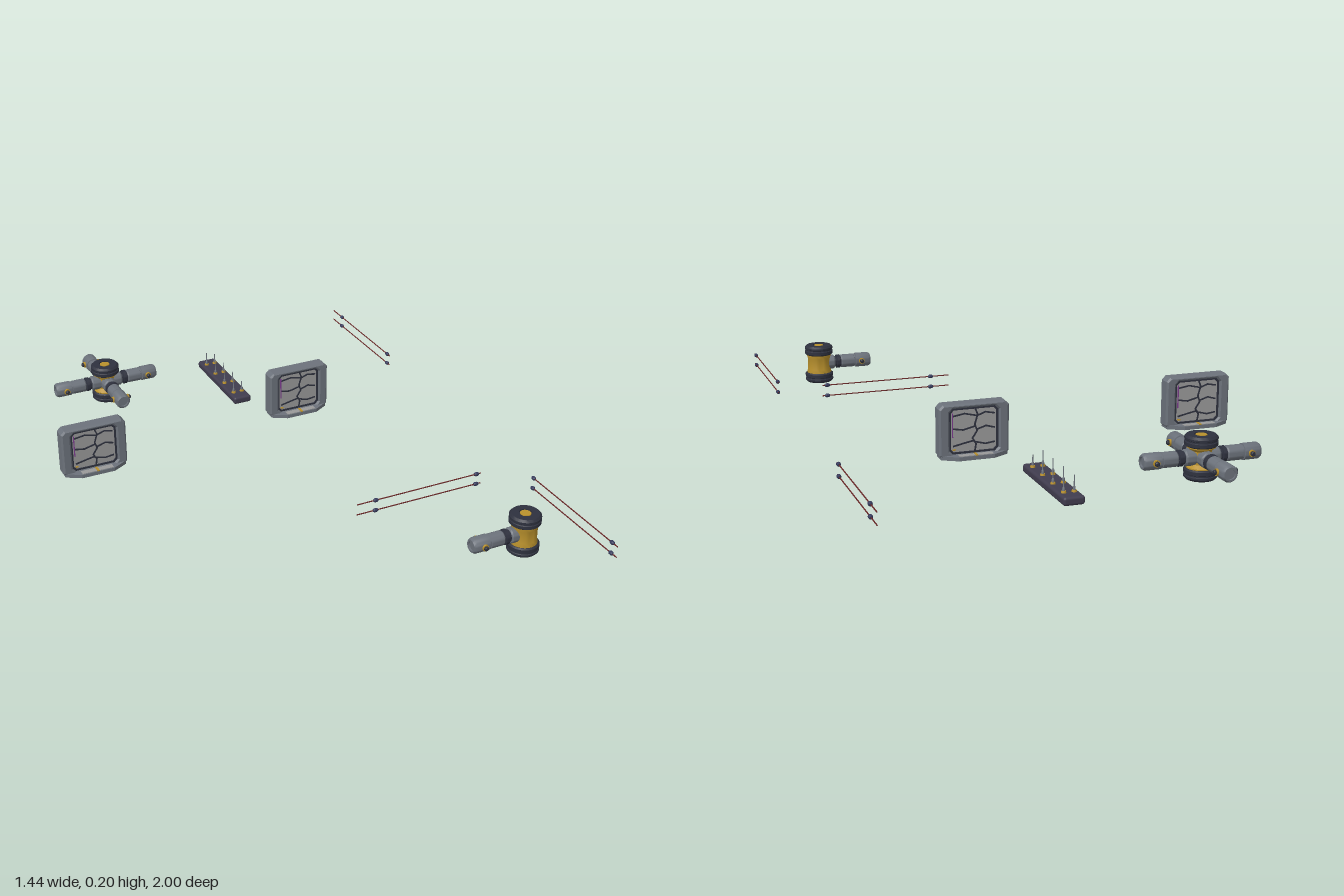
import * as THREE from 'three';
import { toCreasedNormals } from 'three/addons/utils/BufferGeometryUtils.js';
import { RoundedBoxGeometry } from 'three/addons/geometries/RoundedBoxGeometry.js';

const mat = (c) => new THREE.MeshStandardMaterial({ color: c });
const M = {
  steel: mat(0x6c727b), light: mat(0x999999), dark: mat(0x2e313e), strip: mat(0x403c4e),
  gold: mat(0xb8902c), wire: mat(0x6a2626), navy: mat(0x35395a), purple: mat(0x7a3a8c),
};

function add(parent, name, geo, material, x = 0, y = 0, z = 0) {
  const m = new THREE.Mesh(geo, material);
  m.name = name;
  m.position.set(x, y, z);
  parent.add(m);
  return m;
}
function group(parent, name, x, y, z) {
  const g = new THREE.Group();
  g.name = name;
  g.position.set(x, y, z);
  parent.add(g);
  return g;
}
// Turned profile of [radius, height] pairs, keeping sharp shoulders
const turned = (pts, seg = 28) =>
  toCreasedNormals(new THREE.LatheGeometry(pts.map((p) => new THREE.Vector2(...p)), seg), 0.6);

// Rectangle outline with cut corners
function cutRect(w, h, c, Type = THREE.Shape) {
  const s = new Type(), a = w / 2, b = h / 2;
  [[-a + c, -b], [a - c, -b], [a, -b + c], [a, b - c], [a - c, b], [-a + c, b], [-a, b - c], [-a, -b + c]]
    .forEach((p, i) => (i ? s.lineTo(...p) : s.moveTo(...p)));
  s.closePath();
  return s;
}

// Pipe arm pointing along local +x
function buildArm(parent, angle) {
  const arm = group(parent, 'pipeArm', 0, 0, 0);
  arm.rotation.y = angle;
  const lay = (name, pts, m) => { add(arm, name, turned(pts), m).rotation.z = -Math.PI / 2; };
  lay('socket', [[0, 0.025], [0.027, 0.025], [0.027, 0.055], [0.023, 0.06], [0, 0.06]], M.steel);
  lay('neck', [[0, 0.058], [0.021, 0.058], [0.021, 0.066], [0.026, 0.068], [0.026, 0.08], [0.021, 0.082], [0.021, 0.09], [0, 0.09]], M.dark);
  lay('pipe', [[0, 0.084], [0.022, 0.084], [0.025, 0.088], [0.025, 0.135], [0.023, 0.136], [0.023, 0.141],
    [0.027, 0.142], [0.027, 0.192], [0.022, 0.2], [0.016, 0.2], [0.016, 0.194], [0, 0.194]], M.steel);
  for (const s of [-1, 1]) {
    const washer = add(arm, 'boltWasher', new THREE.CylinderGeometry(0.011, 0.011, 0.008, 16), M.gold, 0.163, 0, s * 0.028);
    const bolt = add(arm, 'boltHead', turned([[0, 0], [0.008, 0], [0.008, 0.006], [0.005, 0.009], [0, 0.009]], 12), M.dark, 0.163, 0, s * 0.031);
    washer.rotation.x = bolt.rotation.x = s * Math.PI / 2;
  }
}

// Drum with two flanged caps and any number of arms
function buildHub(parent, name, x, z, angles, waist) {
  const hub = group(parent, name, x, 0.079, z);
  add(hub, 'drum', turned([[0.046, -0.04], [0.046, -0.031], [waist, -0.021], [waist, 0.021], [0.046, 0.031], [0.046, 0.04]]), M.gold);
  for (const s of [-1, 1]) {
    const cap = group(hub, 'endCap', 0, s * 0.035, 0);
    if (s < 0) cap.rotation.x = Math.PI;
    add(cap, 'rim', turned([[0, 0], [0.048, 0], [0.053, 0.004], [0.053, 0.015], [0.05, 0.017], [0.05, 0.021],
      [0.053, 0.023], [0.053, 0.029], [0.046, 0.036], [0.022, 0.036], [0.022, 0.032], [0, 0.032]]), M.dark);
    add(cap, 'centreDisc', new THREE.CylinderGeometry(0.018, 0.018, 0.006, 20), M.gold, 0, 0.0325, 0);
  }
  angles.forEach((a) => buildArm(hub, a));
  return hub;
}

// Framed panel on a hexagonal foot, the same on front and back
function buildPanel(parent, name, x, z) {
  const p = group(parent, name, x, 0.109, z);
  const outline = cutRect(0.236, 0.182, 0.014);
  outline.holes.push(cutRect(0.166, 0.152, 0.012, THREE.Path));
  const frame = new THREE.ExtrudeGeometry(outline, {
    depth: 0.038, bevelEnabled: true, bevelThickness: 0.006, bevelSize: 0.006, bevelOffset: -0.006, bevelSegments: 1,
  });
  add(p, 'frame', frame, M.steel, 0, 0, -0.019);
  add(p, 'infill', new THREE.BoxGeometry(0.168, 0.154, 0.026), M.light);

  const seams = [
    [[0.006, 0.07], [0.014, 0.05], [0.004, 0.018], [0.012, -0.004], [-0.004, -0.028], [0.008, -0.048], [0.004, -0.07]],
    [[-0.068, 0.05], [-0.03, 0.056], [0.012, 0.046]],
    [[0.012, 0.046], [0.04, 0.056], [0.07, 0.05]],
    [[-0.07, 0.008], [-0.035, 0.002], [0.006, 0.012]],
    [[0.01, 0], [0.042, 0.01], [0.07, 0.002]],
    [[-0.068, -0.05], [-0.03, -0.042], [0.002, -0.036]],
    [[0.002, -0.04], [0.04, -0.05], [0.07, -0.046]],
  ];
  for (const s of [-1, 1]) {
    const face = group(p, 'panelFace', 0, 0, 0);
    if (s < 0) face.rotation.y = Math.PI;
    const liner = cutRect(0.166, 0.152, 0.012);
    liner.holes.push(cutRect(0.154, 0.14, 0.01, THREE.Path));
    add(face, 'liner', new THREE.ExtrudeGeometry(liner, { depth: 0.005, bevelEnabled: false }), M.dark, 0, 0, 0.012);
    for (const line of seams) {
      for (let i = 1; i < line.length; i++) {
        const [ax, ay] = line[i - 1], [bx, by] = line[i];
        const bar = add(face, 'seam', new THREE.BoxGeometry(Math.hypot(bx - ax, by - ay) + 0.003, 0.005, 0.004),
          M.dark, (ax + bx) / 2, (ay + by) / 2, 0.014);
        bar.rotation.z = Math.atan2(by - ay, bx - ax);
      }
    }
    add(face, 'accentStrip', new THREE.BoxGeometry(0.003, 0.08, 0.004), M.purple, -0.071, 0.02, 0.015);
    add(face, 'cornerMark', new THREE.BoxGeometry(0.01, 0.004, 0.004), M.gold, -0.066, -0.062, 0.015);
  }

  // Foot: hexagon in plan, with gold stripes across the ledges
  const foot = new THREE.Shape([[-0.112, -0.022], [-0.06, -0.052], [0.06, -0.052], [0.112, -0.022],
    [0.112, 0.022], [0.06, 0.052], [-0.06, 0.052], [-0.112, 0.022]].map((q) => new THREE.Vector2(...q)));
  const footGeo = new THREE.ExtrudeGeometry(foot, { depth: 0.013, bevelEnabled: false });
  add(p, 'foot', footGeo, M.steel, 0, -0.09, 0).rotation.x = -Math.PI / 2;
  for (const s of [-1, 1]) {
    add(p, 'ledge', new THREE.BoxGeometry(0.115, 0.002, 0.022), M.light, 0, -0.0765, s * 0.037);
    add(p, 'ledgeStripe', new THREE.BoxGeometry(0.008, 0.004, 0.027), M.gold, 0, -0.0755, s * 0.038);
  }
}

// Low strip with four pairs of upright pins
function buildPinStrip(parent, x, z) {
  const strip = group(parent, 'pinStrip', x, 0, z);
  add(strip, 'base', new RoundedBoxGeometry(0.07, 0.028, 0.36, 3, 0.009), M.strip, 0, 0.014, 0);
  for (let i = 0; i < 4; i++) {
    for (const s of [-1, 1]) {
      const pin = group(strip, 'pin', s * 0.017, 0.027, -0.132 + i * 0.088);
      add(pin, 'collar', new THREE.CylinderGeometry(0.007, 0.009, 0.008, 12), M.gold, 0, 0.003, 0);
      add(pin, 'shaft', turned([[0.005, 0], [0.004, 0.016], [0.002, 0.02], [0.0015, s < 0 ? 0.053 : 0.042], [0, s < 0 ? 0.054 : 0.043]], 10), M.steel);
    }
  }
}

// Two stacked rods along local x, each with two ferrules
function buildRods(parent, name, x, z, angle, length, ferrules) {
  const set = group(parent, name, x, 0, z);
  set.rotation.y = angle;
  for (const y of [0.083, 0.044]) {
    add(set, 'rod', new THREE.CylinderGeometry(0.002, 0.002, length, 8), M.wire, 0, y, 0).rotation.z = Math.PI / 2;
    for (const f of ferrules) {
      add(set, 'ferrule', turned([[0, -0.009], [0.004, -0.009], [0.007, -0.004], [0.007, 0.004], [0.004, 0.009], [0, 0.009]], 12),
        M.navy, f, y, 0).rotation.z = Math.PI / 2;
    }
  }
}

export function createModel() {
  const model = new THREE.Group();
  model.name = 'stationParts';
  buildHub(model, 'crossHub', -0.372, -0.8, [0, 1, 2, 3].map((i) => i * Math.PI / 2), 0.034);
  buildHub(model, 'singleHub', 0.478, 0.79, [Math.PI], 0.043);
  buildPanel(model, 'leftPanel', -0.602, -0.29);
  buildPanel(model, 'rightPanel', 0.233, -0.375);
  buildPinStrip(model, 0.086, -0.718);
  buildRods(model, 'crosswiseRods', 0.307, 0.422, 0, 0.48, [-0.17, 0.222]);
  buildRods(model, 'frontRods', 0.69, 0.76, -Math.PI / 2, 0.48, [-0.23, 0.212]);
  buildRods(model, 'backRods', 0.709, -0.747, -Math.PI / 2, 0.478, [-0.165, 0.22]);
  return model;
}
